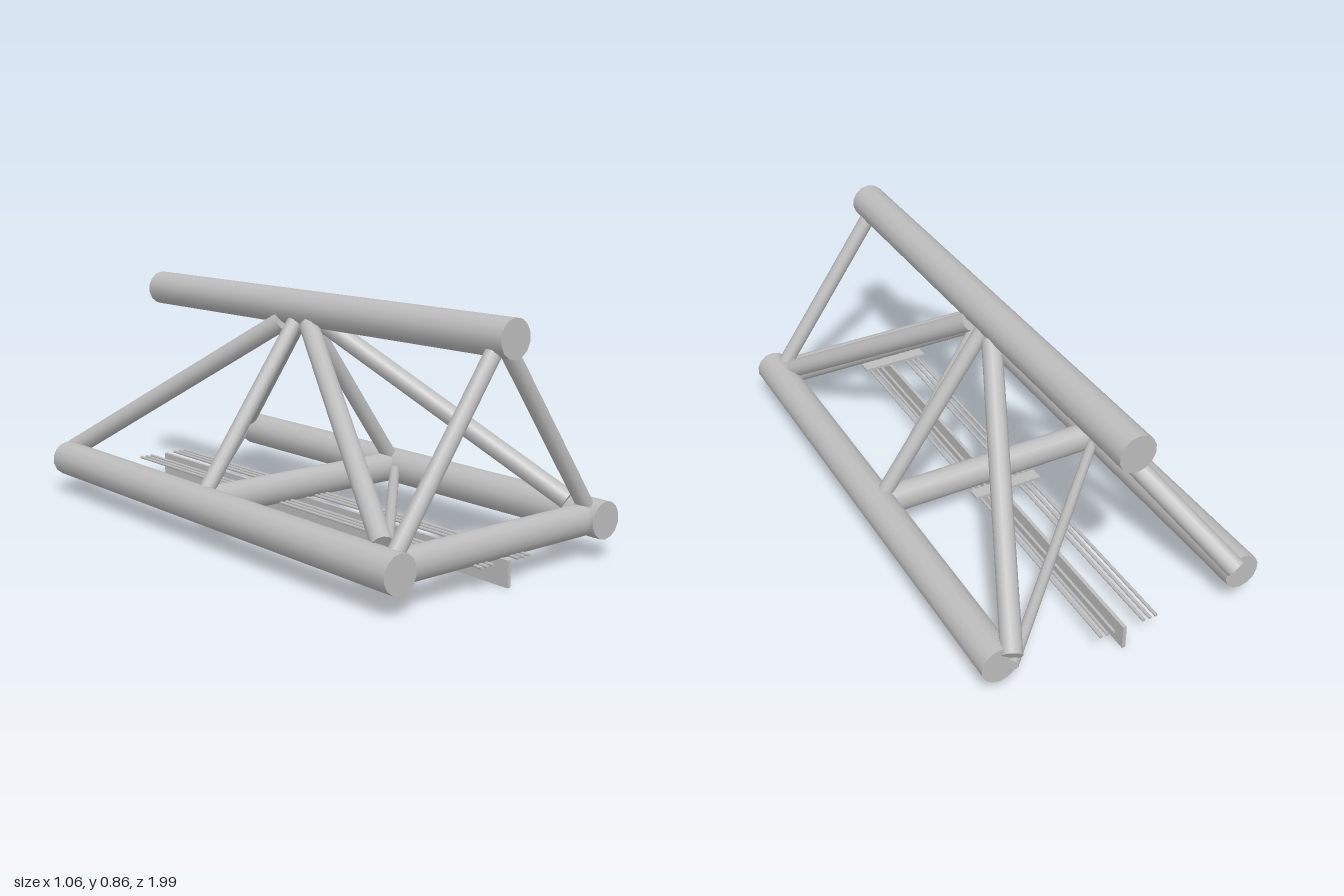
import * as THREE from 'three';

export function createModel() {
  const truss = new THREE.Group();
  truss.name = 'triangularTruss';
  const steel = new THREE.MeshStandardMaterial({ color: 0xbcbcbc });
  steel.name = 'steelGrey';

  // Round bar between two points; squash narrows it along its local x
  function bar(name, a, b, radius, sides = 12, squash = 1) {
    const from = new THREE.Vector3(...a), to = new THREE.Vector3(...b);
    const dir = to.clone().sub(from);
    const mesh = new THREE.Mesh(new THREE.CylinderGeometry(radius, radius, dir.length(), sides), steel);
    mesh.name = name;
    mesh.position.copy(from).add(to).multiplyScalar(0.5);
    mesh.quaternion.setFromUnitVectors(new THREE.Vector3(0, 1, 0), dir.normalize());
    mesh.scale.set(squash, 1, 1);
    truss.add(mesh);
    return mesh;
  }

  function box(name, size, position) {
    const mesh = new THREE.Mesh(new THREE.BoxGeometry(...size), steel);
    mesh.name = name;
    mesh.position.set(...position);
    truss.add(mesh);
  }

  const front = 1, back = -0.955, lowY = 0.137, topY = 0.789;
  const frames = [0.94, -0.035];

  // Three main chords
  bar('topChord', [0, topY, back], [0, topY, front], 0.066, 14);
  for (const s of [-1, 1]) {
    bar(s > 0 ? 'leftChord' : 'rightChord', [s * 0.465, lowY, back], [s * 0.465, lowY, front], 0.066, 14);
    // Upright legs of each triangular frame
    for (const z of frames) bar('frameLeg', [s * 0.43, 0.183, z], [s * 0.035, 0.74, z], 0.029);
    // Sloping side braces
    bar('frontSideBrace', [s * 0.42, 0.19, 0.87], [s * 0.038, 0.735, 0.05], 0.036);
    bar('backSideBrace', [s * 0.43, 0.17, -0.965], [s * 0.038, 0.735, -0.11], 0.036);
  }

  // Oval cross beams, taller than they are deep
  for (const z of frames) {
    const beam = bar('crossBeam', [-0.43, lowY, z], [0.43, lowY, z], 0.056, 16);
    beam.scale.set(1, 1, 0.86);
  }

  // Thin diagonals in the bottom plane
  bar('frontFloorBrace', [-0.43, lowY, 0.9], [0.43, lowY, 0], 0.019);
  bar('backFloorBrace', [-0.43, lowY, -0.07], [0.43, lowY, -0.97], 0.019);

  // Hanging rail, cable rods and the plates carrying them
  box('hangingRail', [0.013, 0.09, front - back], [0, 0.045, (front + back) / 2]);
  for (const x of [-0.122, -0.098, -0.073, 0.042, 0.067, 0.092])
    bar('cableRod', [x, 0.089, back], [x, 0.089, front], 0.006, 8);
  for (const z of [0.865, -0.115]) box('carrierPlate', [0.268, 0.01, 0.05], [-0.019, 0.1, z]);

  return truss;
}
